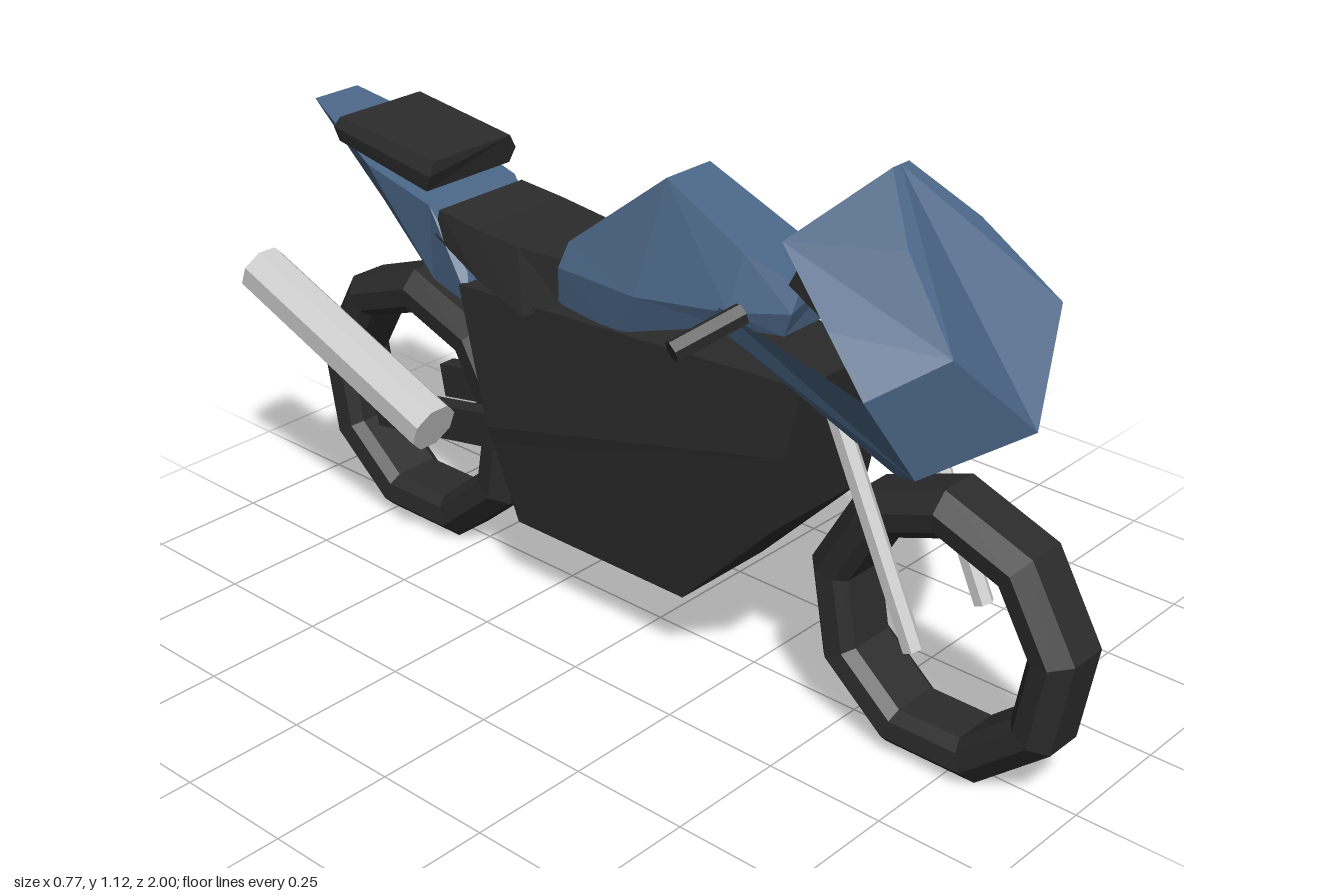
import * as THREE from 'three';

const paint = (color, side = THREE.FrontSide) =>
  new THREE.MeshStandardMaterial({ color, side, flatShading: true });
const BLUE = 0x4a6585, DARK = 0x2b2b2b, GREY = 0xcccccc;
const v = (x, y, z) => new THREE.Vector3(x, y, z);

export function createModel() {
  const bike = new THREE.Group();

  const add = (name, geometry, color, side) => {
    const mesh = new THREE.Mesh(geometry, paint(color, side));
    mesh.name = name;
    bike.add(mesh);
    return mesh;
  };

  const fromTriangles = (tris) => {
    const g = new THREE.BufferGeometry().setFromPoints(tris.flat());
    g.computeVertexNormals();
    return g;
  };

  // Closed solid through rings of equal length, turned outward by its signed volume
  const loft = (rings) => {
    const tris = [];
    const n = rings[0].length;
    for (let i = 0; i < rings.length - 1; i++) {
      for (let j = 0; j < n; j++) {
        const k = (j + 1) % n;
        const a = rings[i][j], b = rings[i][k], c = rings[i + 1][k], d = rings[i + 1][j];
        tris.push([a, b, c], [a, c, d]);
      }
    }
    const last = rings[rings.length - 1];
    for (let j = 1; j < n - 1; j++) {
      tris.push([rings[0][0], rings[0][j + 1], rings[0][j]], [last[0], last[j], last[j + 1]]);
    }
    let volume = 0;
    for (const [a, b, c] of tris) volume += a.dot(b.clone().cross(c));
    return fromTriangles(volume < 0 ? tris.map(([a, b, c]) => [a, c, b]) : tris);
  };

  // Symmetric ring from [half width, y, z] points listed down the left side
  const ring = (half) => [
    ...half.map(([x, y, z]) => v(x, y, z)),
    ...half.slice().reverse().map(([x, y, z]) => v(-x, y, z)),
  ];

  // Straight rod between two points
  const rod = (name, a, b, radius, sides, color) => {
    const mesh = add(name, new THREE.CylinderGeometry(radius, radius, a.distanceTo(b), sides), color);
    mesh.position.copy(a).lerp(b, 0.5);
    mesh.quaternion.setFromUnitVectors(v(0, 1, 0), b.clone().sub(a).normalize());
    return mesh;
  };

  // Tyres: nine-sided rings with a chamfered tread
  const tyre = (name, y, z, outer, inner) => {
    const section = [
      [inner, -0.05], [inner + 0.02, -0.072], [outer - 0.035, -0.077], [outer, -0.042],
      [outer, 0.042], [outer - 0.035, 0.077], [inner + 0.02, 0.072], [inner, 0.05], [inner, -0.05],
    ].map(([r, w]) => new THREE.Vector2(r, w));
    const geometry = new THREE.LatheGeometry(section, 9);
    geometry.rotateY(Math.PI / 2).rotateZ(Math.PI / 2);
    // Turn one corner straight up
    const p = geometry.attributes.position;
    let top = 0;
    for (let i = 0; i < p.count; i++) {
      if (Math.hypot(p.getY(i), p.getZ(i)) > outer - 0.001) { top = Math.atan2(p.getZ(i), p.getY(i)); break; }
    }
    geometry.rotateX(-top);
    add(name, geometry, DARK, THREE.DoubleSide).position.set(0, y, z);
  };
  tyre('frontTyre', 0.284, 0.708, 0.293, 0.2);
  tyre('rearTyre', 0.299, -0.657, 0.308, 0.212);

  // Engine block: stacked four-cornered levels [half width, front y, front z, back y, back z]
  add('engineBody', loft([
    [0.12, 0.176, 0.166, 0.176, -0.283],
    [0.141, 0.417, 0.40, 0.345, -0.327],
    [0.147, 0.58, 0.431, 0.385, -0.34],
    [0.135, 0.725, 0.458, 0.67, -0.42],
  ].map(([w, fy, fz, by, bz]) => ring([[w, fy, fz], [w, by, bz]]))), DARK);

  // Fuel tank
  add('fuelTank', loft([
    ring([[0.06, 0.875, 0.39], [0.085, 0.83, 0.39], [0.08, 0.78, 0.37]]),
    ring([[0.075, 0.91, 0.27], [0.12, 0.81, 0.27], [0.11, 0.775, 0.26]]),
    ring([[0.06, 1.0, 0.07], [0.14, 0.785, 0.06], [0.125, 0.69, 0]]),
    ring([[0.105, 0.83, -0.14], [0.125, 0.78, -0.15], [0.115, 0.70, -0.16]]),
  ]), BLUE);

  // Rider seat
  add('riderSeat', loft([
    ring([[0.1, 0.785, -0.15], [0.115, 0.70, -0.15]]),
    ring([[0.115, 0.787, -0.27], [0.145, 0.66, -0.23]]),
    ring([[0.12, 0.795, -0.38], [0.14, 0.70, -0.36]]),
    ring([[0.115, 0.805, -0.49], [0.12, 0.75, -0.50]]),
  ]), DARK);

  // Tail fairing
  add('tailFairing', loft([
    ring([[0.11, 0.69, -0.42], [0.13, 0.63, -0.395]]),
    ring([[0.12, 0.81, -0.515], [0.14, 0.73, -0.51], [0.11, 0.645, -0.52]].filter((_, i) => i !== 1)),
    ring([[0.125, 0.855, -0.69], [0.085, 0.765, -0.69]]),
    ring([[0.058, 0.925, -0.925], [0.05, 0.915, -0.915]]),
  ]), BLUE);

  // Passenger seat
  add('passengerSeat', loft([
    ring([[0.105, 0.90, -0.51], [0.12, 0.87, -0.51], [0.115, 0.835, -0.525]]),
    ring([[0.11, 0.93, -0.785], [0.12, 0.91, -0.795], [0.115, 0.88, -0.785]]),
  ]), DARK);

  // Instrument panel
  const dash = add('instrumentPanel', new THREE.BoxGeometry(0.17, 0.09, 0.12), DARK);
  dash.position.set(0, 0.895, 0.455);
  dash.rotation.x = 0.5;

  // Front fairing: thin faceted shell, one half mirrored to the other
  const C = v(0, 1.13, 0.55), T = v(0.023, 1.13, 0.55), P = v(0.105, 1.03, 0.65);
  const N = v(0.16, 0.893, 0.79), O = v(0, 0.725, 0.86), S = v(0.185, 1.015, 0.445);
  const E = v(0.24, 0.91, 0.59), W = v(0.273, 0.825, 0.695), K = v(0.18, 0.66, 0.74);
  const B = v(0.14, 0.63, 0.675), B0 = v(0, 0.63, 0.675);
  const R = v(0.15, 0.80, 0.25), U = v(0.165, 0.84, 0.29);
  const half = [
    [C, O, N], [C, N, P], [C, P, T], [T, P, S], [P, N, S], [N, E, S], [N, W, E],
    [N, O, K], [N, K, W], [O, B, K], [O, B0, B], [W, K, U], [K, R, U], [K, B, R],
  ];
  const flip = (p) => v(-p.x, p.y, p.z);
  add('frontFairing', fromTriangles([
    ...half, ...half.map(([a, b, c]) => [flip(a), flip(c), flip(b)]),
  ]), BLUE, THREE.DoubleSide);

  // Paired parts
  for (const s of [1, -1]) {
    const tag = s > 0 ? 'left' : 'right';
    rod(tag + 'Fork', v(s * 0.109, 0.28, 0.705), v(s * 0.109, 0.70, 0.51), 0.02, 6, GREY);
    rod(tag + 'Grip', v(s * 0.25, 0.895, 0.415), v(s * 0.375, 0.85, 0.365), 0.021, 6, DARK);
    const arm = add(tag + 'SwingArm', new THREE.BoxGeometry(0.04, 0.075, 0.4), DARK);
    arm.position.set(s * 0.097, 0.325, -0.52);
    arm.rotation.x = -0.186;
  }

  // Exhaust on the right side
  const pipe = rod('exhaust', v(-0.188, 0.358, -0.455), v(-0.188, 0.562, -0.98), 0.056, 8, GREY);
  pipe.geometry.rotateY(Math.PI / 8);

  return bike;
}
